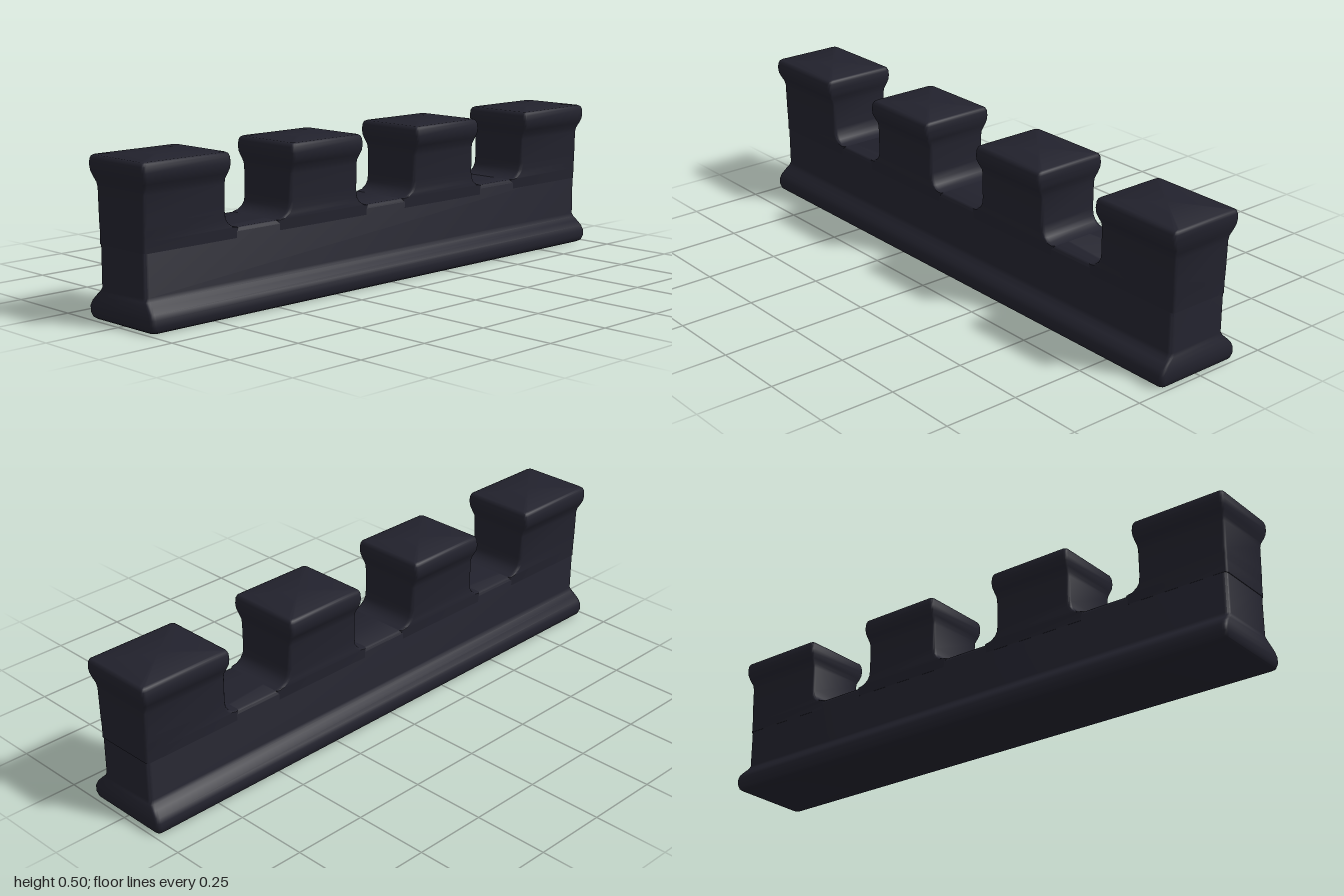
import * as THREE from 'three';
import { toCreasedNormals } from 'three/addons/utils/BufferGeometryUtils.js';

const CORNER_STEPS = 3;

// Stacks rounded rectangles; each row is [y, xMin, xMax, halfDepth]. crown lifts the middle of the top.
function loft(rows, radius, crown = 0) {
  const points = [], index = [];
  for (const [y, x0, x1, d] of rows) {
    const corners = [[x1 - radius, d - radius], [x0 + radius, d - radius],
      [x0 + radius, radius - d], [x1 - radius, radius - d]];
    corners.forEach(([cx, cz], c) => {
      for (let s = 0; s <= CORNER_STEPS; s++) {
        const a = (c + s / CORNER_STEPS) * Math.PI / 2;
        points.push(cx + radius * Math.cos(a), y, cz + radius * Math.sin(a));
      }
    });
  }
  const n = 4 * (CORNER_STEPS + 1);
  for (let r = 0; r < rows.length - 1; r++) {
    for (let i = 0; i < n; i++) {
      const a = r * n + i, b = r * n + (i + 1) % n;
      index.push(a, a + n, b, b, a + n, b + n);
    }
  }
  // Bottom and top lids
  const first = rows[0], last = rows[rows.length - 1];
  const bottom = points.length / 3, top = bottom + 1, start = (rows.length - 1) * n;
  points.push((first[1] + first[2]) / 2, first[0], 0, (last[1] + last[2]) / 2, last[0] + crown, 0);
  for (let i = 0; i < n; i++) {
    const j = (i + 1) % n;
    index.push(bottom, i, j, top, start + j, start + i);
  }
  const geometry = new THREE.BufferGeometry();
  geometry.setAttribute('position', new THREE.Float32BufferAttribute(points, 3));
  geometry.setIndex(index);
  return toCreasedNormals(geometry, 0.8);
}

export function createModel() {
  const group = new THREE.Group();
  const stone = new THREE.MeshStandardMaterial({ color: 0x22222d });
  stone.name = 'dark stone';

  const add = (name, geometry) => {
    const mesh = new THREE.Mesh(geometry, stone);
    mesh.name = name;
    group.add(mesh);
  };

  // Lower wall with its flared plinth: [y, half width, half depth]
  const wall = [
    [0, 0.978, 0.138], [0.006, 0.987, 0.148], [0.022, 0.992, 0.153], [0.042, 0.992, 0.153],
    [0.058, 0.99, 0.145], [0.075, 0.986, 0.129], [0.088, 0.983, 0.115], [0.1, 0.98, 0.109],
    [0.25, 0.98, 0.109], [0.258, 0.978, 0.106], [0.262, 0.974, 0.1],
  ];
  add('wall', loft(wall.map(([y, w, d]) => [y, -w, w, d]), 0.014));

  // Merlon: [y, inset of a notch side, inset of an outer end, half depth]
  const merlonRows = [
    [0.23, -0.045, 0.018, 0.1095], [0.262, -0.045, 0.018, 0.1095], [0.266, -0.024, 0.018, 0.1095],
    [0.277, -0.007, 0.018, 0.11], [0.292, 0.003, 0.017, 0.11], [0.315, 0.007, 0.017, 0.111],
    [0.4, 0.007, 0.016, 0.112], [0.415, 0.007, 0.014, 0.115], [0.432, 0.004, 0.009, 0.124],
    [0.448, 0.001, 0.005, 0.131], [0.465, 0, 0.003, 0.133], [0.483, 0.001, 0.003, 0.131],
    [0.492, 0.004, 0.006, 0.127], [0.496, 0.01, 0.011, 0.12],
  ];
  const merlon = (x0, x1) => loft(merlonRows.map(([y, notch, end, d]) => [
    y, x0 + (x0 <= -1 ? end : notch), x1 - (x1 >= 1 ? end : notch), d,
  ]), 0.012, 0.004);

  [[-1, -0.67], [-0.427, -0.123], [0.123, 0.427], [0.67, 1]].forEach(([x0, x1], i) => {
    add(`merlon${i + 1}`, merlon(x0, x1));
  });

  return group;
}
